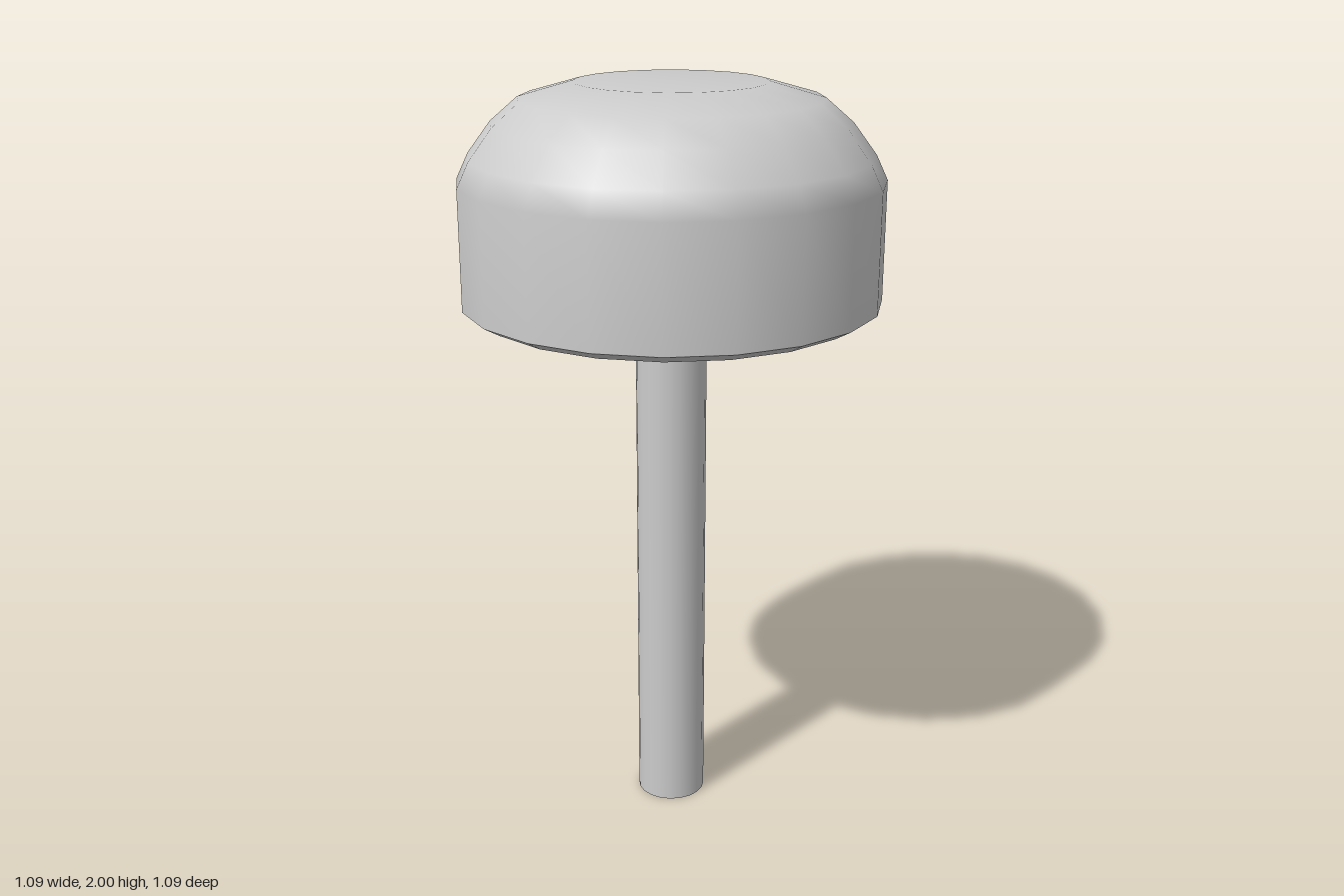
import * as THREE from 'three';

const material = new THREE.MeshStandardMaterial({ color: 0xcccccc });

// Revolves each smooth run of [radius, height] points; edges between runs stay sharp.
function turned(name, sides, runs) {
  const part = new THREE.Group();
  part.name = name;
  runs.forEach((run, i) => {
    const points = run.map(([r, y]) => new THREE.Vector2(r, y));
    const mesh = new THREE.Mesh(new THREE.LatheGeometry(points, sides), material);
    mesh.name = `${name}Surface${i + 1}`;
    part.add(mesh);
  });
  return part;
}

export function createModel() {
  const model = new THREE.Group();
  model.name = 'domedKnobOnStem';

  // Straight stem with a flat foot
  model.add(turned('stem', 20, [
    [[0, 0], [0.093, 0]],
    [[0.093, 0], [0.093, 1.345]],
  ]));

  // Collar under the cap, slightly bevelled at its lower rim
  model.add(turned('collar', 20, [
    [[0, 1.335], [0.152, 1.335]],
    [[0.152, 1.335], [0.16, 1.345], [0.16, 1.43]],
  ]));

  // Domed cap: flat underside, bevelled rim, straight wall, rounded shoulder, flat crown
  model.add(turned('cap', 20, [
    [[0, 1.424], [0.502, 1.424]],
    [[0.502, 1.424], [0.545, 1.448]],
    [[0.545, 1.448], [0.545, 1.757], [0.515, 1.82], [0.455, 1.9],
      [0.385, 1.96], [0.245, 2], [0, 2]],
  ]));

  return model;
}
